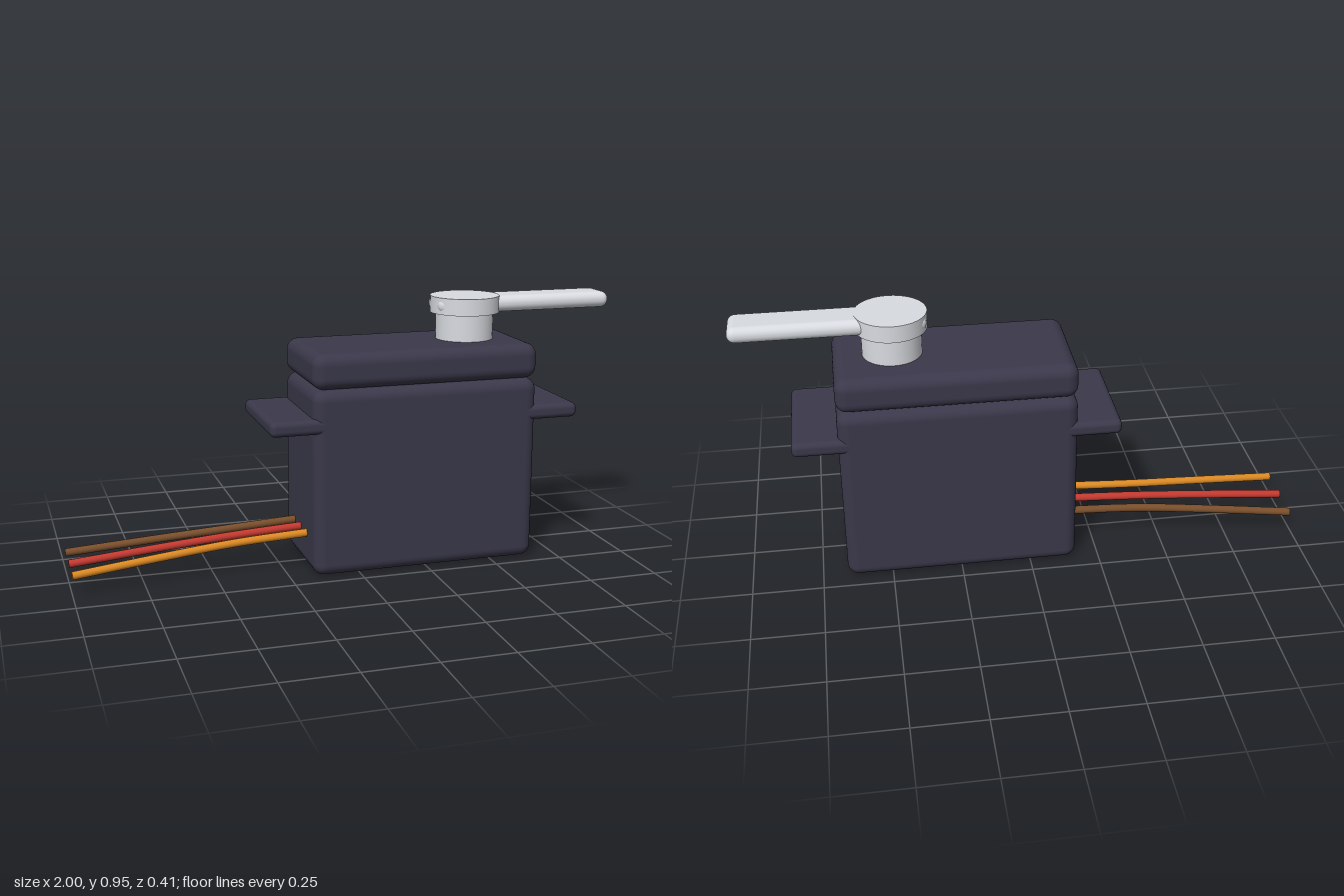
import * as THREE from 'three';
import { RoundedBoxGeometry } from 'three/addons/geometries/RoundedBoxGeometry.js';

const material = (name, color) => {
  const m = new THREE.MeshStandardMaterial({ color });
  m.name = name;
  return m;
};

export function createModel() {
  const group = new THREE.Group();
  const casing = material('dark casing', 0x3a384a);
  const plastic = material('pale plastic', 0xd8dbe0);
  const brown = material('brown wire', 0x7a4f2c);
  const red = material('red wire', 0xc43a30);
  const orange = material('orange wire', 0xdd8a24);

  const add = (name, geometry, mat, x = 0, y = 0, z = 0) => {
    const mesh = new THREE.Mesh(geometry, mat);
    mesh.name = name;
    mesh.position.set(x, y, z);
    group.add(mesh);
    return mesh;
  };
  // Rounded block given by its x and y limits and its depth
  const block = (name, x0, x1, y0, y1, depth, radius, mat) =>
    add(name, new RoundedBoxGeometry(x1 - x0, y1 - y0, depth, 5, radius), mat,
      (x0 + x1) / 2, (y0 + y1) / 2, 0);

  // Casing with its lid and mounting flange
  block('body', -0.167, 0.661, 0, 0.667, 0.414, 0.041, casing);
  block('lid', -0.167, 0.661, 0.667, 0.792, 0.414, 0.041, casing);
  block('mountingFlange', -0.321, 0.819, 0.516, 0.569, 0.414, 0.02, casing);

  // Output shaft, horn hub and arm
  const shaftX = 0.454;
  add('outputShaft', new THREE.CylinderGeometry(0.104, 0.104, 0.11, 40), plastic, shaftX, 0.84, 0);
  add('hornHub', new THREE.CylinderGeometry(0.125, 0.125, 0.06, 40), plastic, shaftX, 0.918, 0);
  block('hornArm', 0.335, 1, 0.889, 0.947, 0.144, 0.028, plastic);

  // Three wires that fan out from the side, with closed ends
  const wires = [['brownWire', brown, -1], ['redWire', red, 0], ['orangeWire', orange, 1]];
  for (const [name, mat, side] of wires) {
    const curve = new THREE.CatmullRomCurve3([
      new THREE.Vector3(-0.12, 0.133, 0.083 * side),
      new THREE.Vector3(-0.42, 0.117, 0.083 * side),
      new THREE.Vector3(-0.68, 0.097, 0.1 * side),
      new THREE.Vector3(-0.998, 0.069, 0.125 * side),
    ]);
    add(name, new THREE.TubeGeometry(curve, 32, 0.0145, 12), mat);
    const end = curve.getPoint(1);
    const cap = add(name + 'End', new THREE.CircleGeometry(0.0145, 12), mat, end.x, end.y, end.z);
    cap.quaternion.setFromUnitVectors(new THREE.Vector3(0, 0, 1), curve.getTangent(1));
  }
  return group;
}
